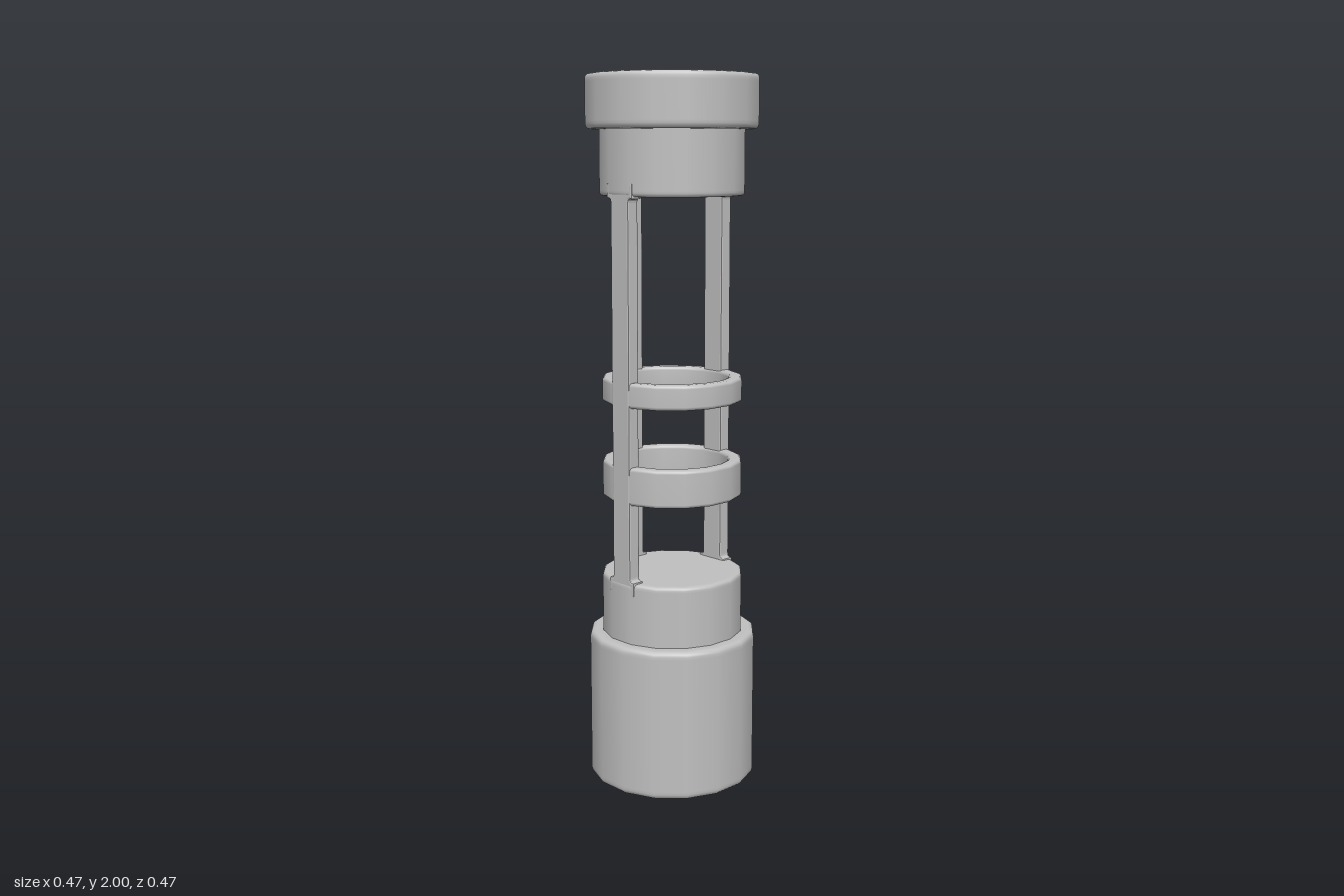
import * as THREE from 'three';

const SIDES = 16;
const FLAT = 1 / Math.cos(Math.PI / SIDES); // flat distance -> corner radius

const grey = new THREE.MeshStandardMaterial({ color: 0xc0c0c0 });
grey.name = 'grey';

// Quarter-round corner points, centred at (x, y), starting at angle a
function corner(x, y, b, a) {
  return [0, 1, 2, 3].map((i) => {
    const t = a + (i / 3) * Math.PI / 2;
    return new THREE.Vector2(x + b * Math.cos(t), y + b * Math.sin(t));
  });
}

function turn(name, points) {
  const profile = points.map((p) => new THREE.Vector2(p.x * FLAT, p.y));
  const mesh = new THREE.Mesh(new THREE.LatheGeometry(profile, SIDES, Math.PI / SIDES), grey);
  mesh.name = name;
  return mesh;
}

// Solid drum with softened rims; extra points keep the caps and wall flat
function drum(name, r, y0, y1, b) {
  const v = (x, y) => new THREE.Vector2(x, y);
  return turn(name, [
    v(0, y0), v(r - b * 1.6, y0),
    ...corner(r - b, y0 + b, b, -Math.PI / 2),
    v(r, y0 + b * 1.6), v(r, y1 - b * 1.6),
    ...corner(r - b, y1 - b, b, 0),
    v(r - b * 1.6, y1), v(0, y1),
  ]);
}

// Open band with softened edges, closed at the middle of its inner wall
function band(name, ri, ro, y0, y1, b) {
  const mid = new THREE.Vector2(ri, (y0 + y1) / 2);
  return turn(name, [
    mid,
    ...corner(ri + b, y0 + b, b, Math.PI),
    ...corner(ro - b, y0 + b, b, -Math.PI / 2),
    ...corner(ro - b, y1 - b, b, 0),
    ...corner(ri + b, y1 - b, b, Math.PI / 2),
    mid.clone(),
  ]);
}

// Upright bar with small flares where it meets the collars
function strutGeometry(y0, y1, inner, outer) {
  const bevel = 0.005, w = 0.035 - bevel, f = 0.015, sink = 0.03;
  const s = new THREE.Shape();
  s.moveTo(-w - f, y0 - sink);
  s.lineTo(w + f, y0 - sink);
  s.lineTo(w + f, y0);
  s.quadraticCurveTo(w, y0, w, y0 + f);
  s.lineTo(w, y1 - f);
  s.quadraticCurveTo(w, y1, w + f, y1);
  s.lineTo(w + f, y1 + sink);
  s.lineTo(-w - f, y1 + sink);
  s.lineTo(-w - f, y1);
  s.quadraticCurveTo(-w, y1, -w, y1 - f);
  s.lineTo(-w, y0 + f);
  s.quadraticCurveTo(-w, y0, -w - f, y0);
  const g = new THREE.ExtrudeGeometry(s, {
    depth: outer - inner - 2 * bevel, bevelEnabled: true,
    bevelThickness: bevel, bevelSize: bevel, bevelSegments: 2, curveSegments: 4,
  });
  g.translate(0, 0, inner + bevel);
  return g;
}

export function createModel() {
  const model = new THREE.Group();
  model.name = 'cageCylinder';

  // Solid ends
  model.add(
    drum('base', 0.235, 0, 0.435, 0.014),
    drum('lowerCollar', 0.198, 0.4, 0.61, 0.01),
    drum('upperCollar', 0.198, 1.675, 1.88, 0.01),
    drum('cap', 0.235, 1.853, 2, 0.014),
  );

  // Rings around the open middle
  model.add(
    band('lowerRing', 0.157, 0.195, 0.833, 0.94, 0.01),
    band('upperRing', 0.157, 0.195, 1.105, 1.175, 0.01),
  );

  // Three struts on the diagonals, leaving one corner open
  const bar = strutGeometry(0.61, 1.675, 0.16, 0.197);
  [-1, 3, 5].forEach((k) => {
    const strut = new THREE.Mesh(bar, grey);
    strut.name = 'strut';
    strut.rotation.y = k * Math.PI / 4;
    model.add(strut);
  });

  return model;
}
